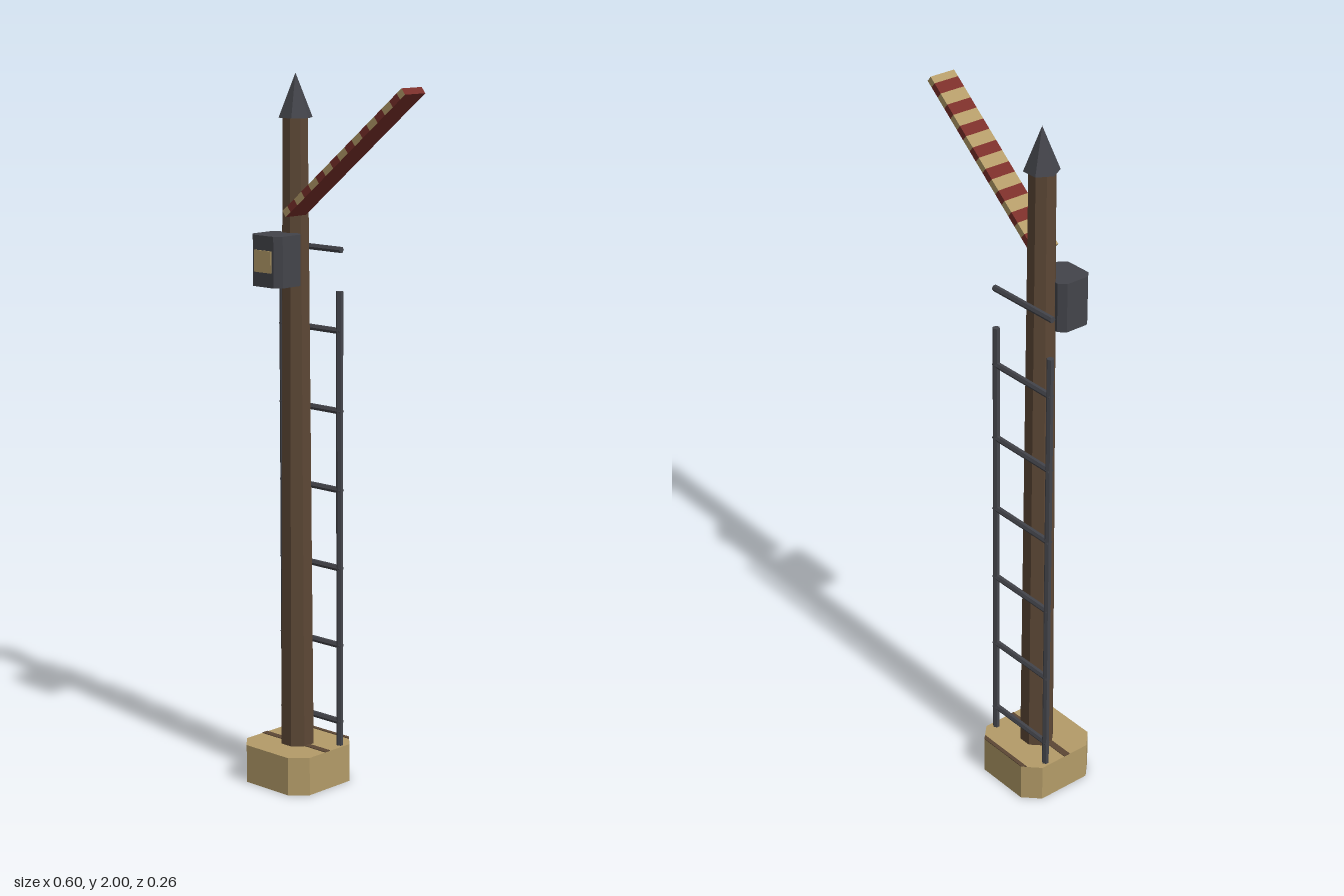
import * as THREE from 'three';

const material = (name, color) => {
  const m = new THREE.MeshStandardMaterial({ color });
  m.name = name;
  return m;
};

// Upright prism from an [x, z] outline, standing on y = 0
function prism(points, height) {
  const shape = new THREE.Shape(points.map(([x, z]) => new THREE.Vector2(x, -z)));
  return new THREE.ExtrudeGeometry(shape, { depth: height, bevelEnabled: false }).rotateX(-Math.PI / 2);
}

// Rectangle outline with cut corners
function cutRect(w, d, c) {
  const x = w / 2, z = d / 2;
  return [[-x + c, z], [x - c, z], [x, z - c], [x, -z + c], [x - c, -z], [-x + c, -z], [-x, -z + c], [-x, z - c]];
}

export function createModel() {
  const cream = material('cream', 0xb39b68);
  const wood = material('brown wood', 0x5c4735);
  const iron = material('dark iron', 0x43444a);
  const red = material('signal red', 0x7a2f2a);

  const model = new THREE.Group();
  model.name = 'semaphoreSignal';
  const add = (name, geometry, mat, x, y, z, parent = model) => {
    const mesh = new THREE.Mesh(geometry, mat);
    mesh.name = name;
    mesh.position.set(x, y, z);
    parent.add(mesh);
    return mesh;
  };
  const flat = (g) => {
    const f = g.index ? g.toNonIndexed() : g;
    f.computeVertexNormals();
    return f;
  };
  const mastX = -0.175, mastZ = -0.003;

  // Footing with brown bands on its top
  add('footing', prism(cutRect(0.25, 0.25, 0.043), 0.11), cream, mastX, 0, mastZ);
  add('footingBand', new THREE.BoxGeometry(0.25, 0.002, 0.02), wood, mastX, 0.111, 0.006);
  add('footingBackBand', prism([[-0.093, 0.012], [0.093, 0.012], [0.082, 0], [-0.082, 0]], 0.002),
    wood, mastX, 0.11, mastZ - 0.125);

  // Tapered mast and pointed cap
  const mast = new THREE.CylinderGeometry(0.037, 0.05, 1.882, 8).rotateY(Math.PI / 8);
  add('mast', flat(mast), wood, mastX, 0.94, mastZ + 0.002);
  const cap = new THREE.ConeGeometry(0.048, 0.12, 6).rotateY(Math.PI / 2);
  add('mastCap', flat(cap), iron, mastX, 1.94, mastZ);

  // Lamp box with lit front pane
  add('lampBox', prism(cutRect(0.114, 0.104, 0.018), 0.14), iron, mastX, 1.43, 0.073);
  add('lampPane', new THREE.BoxGeometry(0.064, 0.06, 0.004), cream, mastX, 1.5, 0.126);

  // Ladder behind the mast
  const ladder = new THREE.Group();
  ladder.name = 'ladder';
  ladder.position.set(mastX, 0, -0.061);
  model.add(ladder);
  const rail = flat(new THREE.CylinderGeometry(0.01, 0.01, 1.31, 6));
  for (const side of [-1, 1]) add('ladderRail', rail, iron, side * 0.109, 0.755, 0, ladder);
  const rung = flat(new THREE.CylinderGeometry(0.009, 0.009, 0.232, 6).rotateZ(Math.PI / 2));
  for (let i = 0; i < 7; i++) add('ladderRung', rung, iron, 0, 0.18 + i * 0.224, 0, ladder);

  // Raised arm, built along its own x axis from the mast outward
  const arm = new THREE.Group();
  arm.name = 'signalArm';
  arm.position.set(-0.134, 1.628, 0.046);
  arm.rotation.z = THREE.MathUtils.degToRad(39);
  model.add(arm);
  const length = 0.549, period = 0.0674, redWidth = 0.0324, first = 0.0235;
  const segment = (name, from, to, mats) =>
    add(name, new THREE.BoxGeometry(to - from, 0.02, 0.078), mats, (from + to) / 2, 0, 0, arm);
  const creamRedBelow = [cream, cream, cream, red, cream, cream];
  const creamEnd = [red, cream, cream, red, cream, cream];
  let start = 0;
  for (let i = 0; i < 8; i++) {
    const a = first + i * period;
    segment('armCreamStripe', start, a, creamRedBelow);
    segment('armRedStripe', a, a + redWidth, red);
    start = a + redWidth;
  }
  segment('armTip', start, length, creamEnd);

  return model;
}
